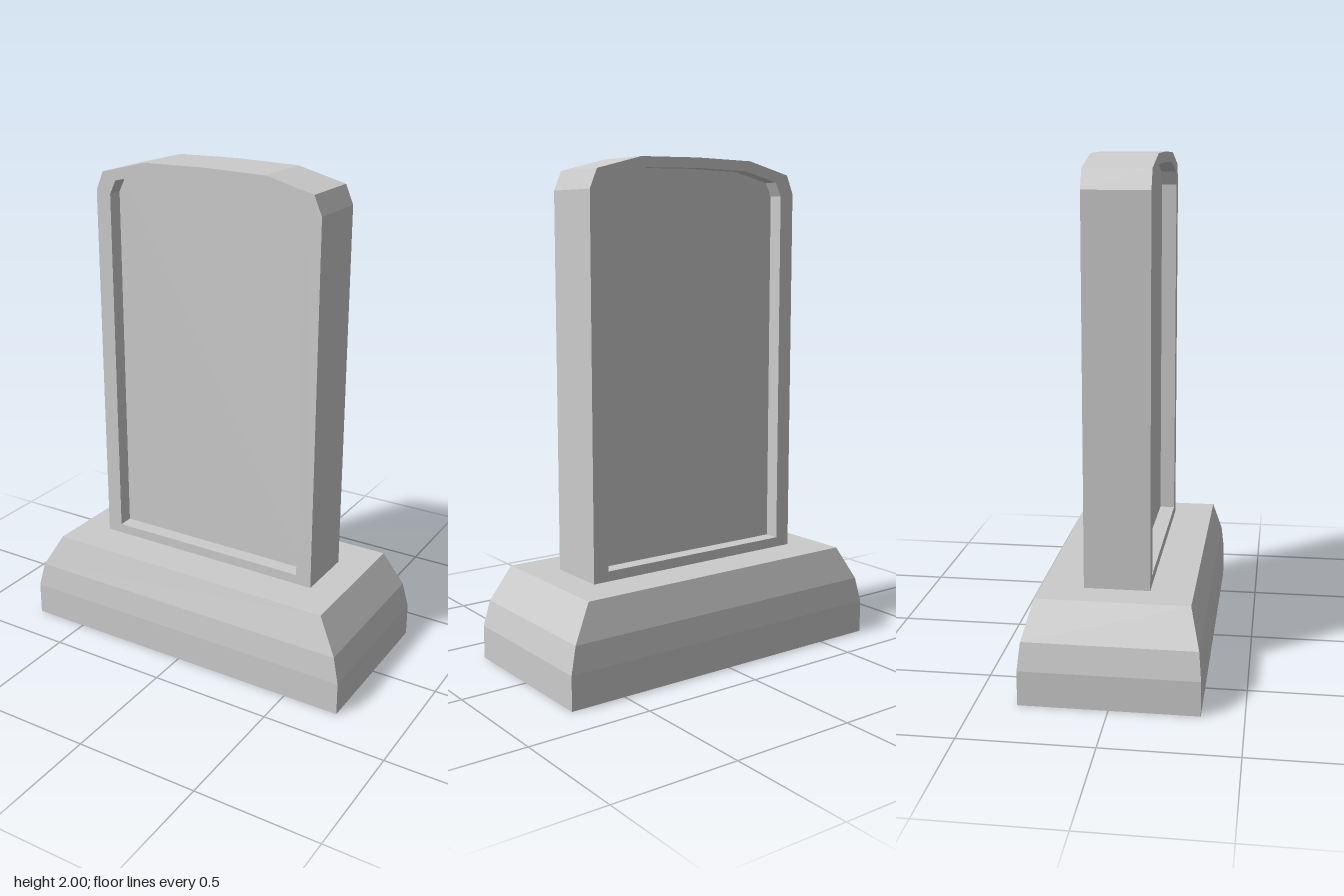
import * as THREE from 'three';

const material = new THREE.MeshStandardMaterial({ color: 0xcccccc, flatShading: true });

function addMesh(group, name, geometry) {
  const mesh = new THREE.Mesh(geometry, material);
  mesh.name = name;
  group.add(mesh);
}

// Mirrors the right half of an outline (bottom to top) onto the left
function mirroredOutline(half, crown) {
  const right = half.map(([x, y]) => new THREE.Vector2(x, y));
  const left = half.map(([x, y]) => new THREE.Vector2(-x, y)).reverse();
  return [...right, new THREE.Vector2(0, crown), ...left];
}

// Extrudes a shape centred on z = 0
function extrudeCentred(shape, depth) {
  return new THREE.ExtrudeGeometry(shape, { depth, bevelEnabled: false }).translate(0, 0, -depth / 2);
}

// Stacks rectangular sections [halfWidth, y, halfDepth] into a closed solid
function loftRectangles(sections) {
  const positions = [];
  const rings = sections.map(([x, y, z]) => [[x, y, z], [x, y, -z], [-x, y, -z], [-x, y, z]]);
  const quad = (a, b, c, d) => positions.push(...a, ...b, ...c, ...a, ...c, ...d);
  for (let i = 0; i < rings.length - 1; i++) {
    for (let j = 0; j < 4; j++) {
      const k = (j + 1) % 4;
      quad(rings[i][j], rings[i][k], rings[i + 1][k], rings[i + 1][j]);
    }
  }
  quad(...rings[rings.length - 1]);
  quad(...[...rings[0]].reverse());
  const geometry = new THREE.BufferGeometry();
  geometry.setAttribute('position', new THREE.Float32BufferAttribute(positions, 3));
  geometry.computeVertexNormals();
  return geometry;
}

export function createModel() {
  const model = new THREE.Group();
  model.name = 'headstone';

  // Plinth with curved-in shoulders
  addMesh(model, 'plinth', loftRectangles([
    [0.73, 0, 0.34],
    [0.73, 0.135, 0.34],
    [0.705, 0.24, 0.33],
    [0.625, 0.38, 0.293],
  ]));

  // Upright stone rim with an arched top, open in the middle
  const outer = mirroredOutline([[0.495, 0.37], [0.495, 1.87], [0.463, 1.945], [0.265, 1.995]], 2);
  const inner = mirroredOutline([[0.43, 0.42], [0.43, 1.86], [0.403, 1.915], [0.24, 1.955]], 1.96);
  const rim = new THREE.Shape(outer);
  rim.holes.push(new THREE.Path(inner));
  addMesh(model, 'stoneRim', extrudeCentred(rim, 0.254));

  // Recessed panel, sunk on both front and back
  addMesh(model, 'recessedPanel', extrudeCentred(new THREE.Shape(inner), 0.13));

  return model;
}
